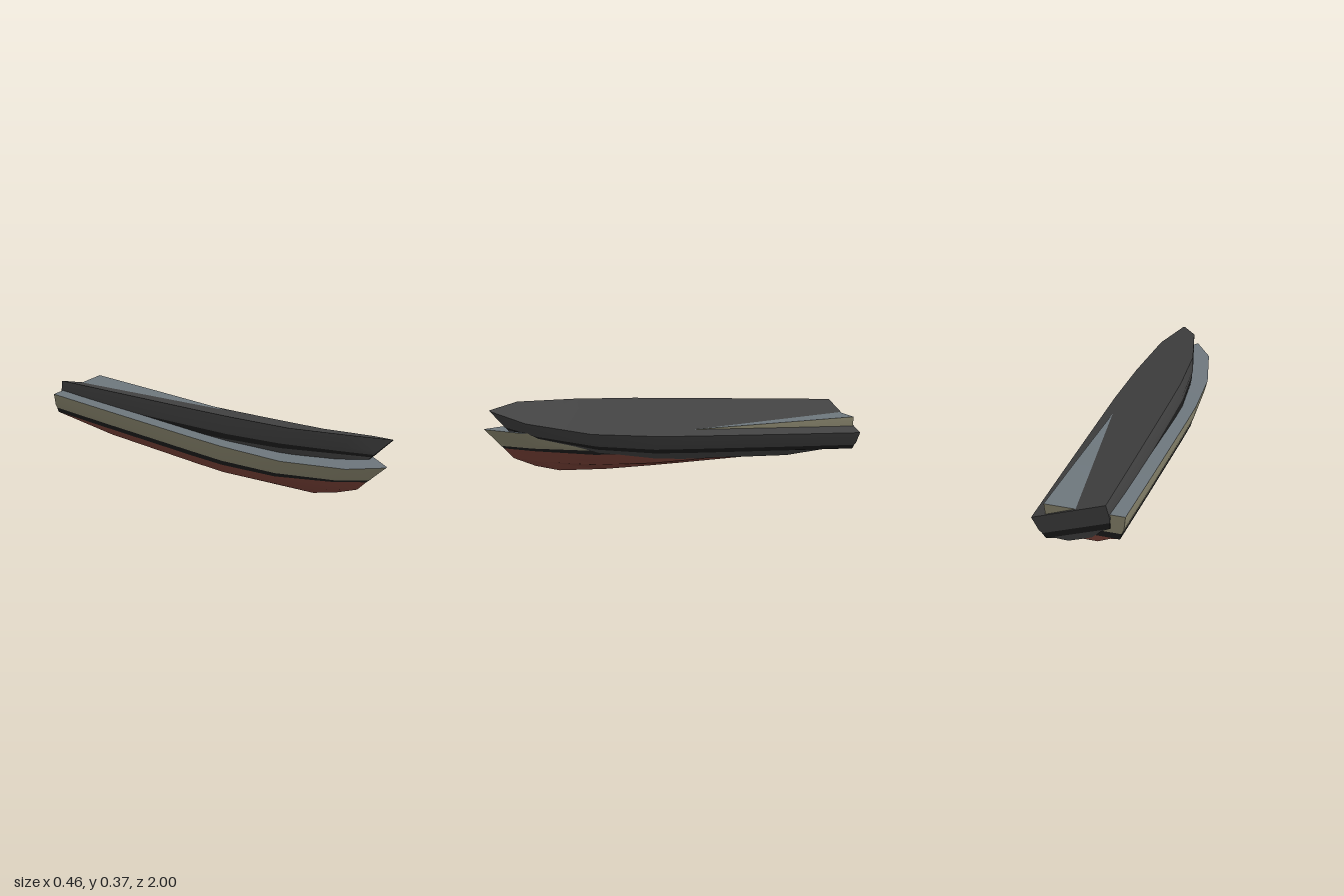
import * as THREE from 'three';
import { toCreasedNormals } from 'three/addons/utils/BufferGeometryUtils.js';

// Stations run from stern to bow; each level lists half widths and heights at them.
const STATIONS = [-0.985, -0.6, 0, 0.2, 0.53, 0.845, 1];
const LEVELS = {
  deck:         { reach: 1.0,   w: [0.19, 0.195, 0.2, 0.2, 0.18, 0.11, 0.005],      h: [0.207, 0.207, 0.207, 0.208, 0.213, 0.235, 0.245] },
  knuckle:      { reach: 0.94,  w: [0.182, 0.187, 0.19, 0.19, 0.167, 0.097, 0.007], h: [0.14, 0.14, 0.14, 0.142, 0.15, 0.168, 0.18] },
  stripeTop:    { reach: 0.92,  w: [0.172, 0.177, 0.181, 0.181, 0.156, 0.087, 0.007], h: [0.118, 0.118, 0.118, 0.118, 0.128, 0.148, 0.157] },
  stripeBottom: { reach: 0.905, w: [0.164, 0.169, 0.174, 0.174, 0.148, 0.079, 0.007], h: [0.09, 0.09, 0.09, 0.092, 0.105, 0.132, 0.143] },
  bilge:        { reach: 0.86,  w: [0.12, 0.138, 0.143, 0.143, 0.115, 0.06, 0.007], h: [0.085, 0.04, 0.035, 0.035, 0.045, 0.07, 0.09] },
  bottom:       { reach: 0.75,  w: [0.06, 0.06, 0.06, 0.06, 0.05, 0.03, 0.005],     h: [0.06, 0.006, 0.003, 0.003, 0.003, 0.012, 0.04] },
};

// Closed ring: along the left side to the bow, back along the right side
function ring(name) {
  const { reach, w, h } = LEVELS[name];
  const side = (s) => STATIONS.map((z, i) => [s * w[i], h[i], z > 0 ? z * reach : z]);
  return [...side(1), ...side(-1).reverse()];
}

// Skin between an upper and a lower ring; the closing quad is the transom
function band(upper, lower, out) {
  const p = ring(upper), q = ring(lower), n = p.length;
  for (let i = 0; i < n; i++) {
    const j = (i + 1) % n;
    out.push(q[i], p[i], p[j], q[i], p[j], q[j]);
  }
}

// Flat cover over a ring
function cap(name, up, out) {
  const p = ring(name), n = p.length;
  for (let i = 0; i < STATIONS.length - 1; i++) {
    const L = p[n - 1 - i], L2 = p[n - 2 - i], R = p[i], R2 = p[i + 1];
    if (up) out.push(L, L2, R2, L, R2, R);
    else out.push(L, R2, L2, L, R, R2);
  }
}

function part(name, material, fill) {
  const points = [];
  fill(points);
  const geo = new THREE.BufferGeometry();
  geo.setAttribute('position', new THREE.Float32BufferAttribute(points.flat(), 3));
  const mesh = new THREE.Mesh(toCreasedNormals(geo, 0.5), material);
  mesh.name = name;
  return mesh;
}

function hull(name, mats) {
  const g = new THREE.Group();
  g.name = name;
  g.add(
    part('deck', mats.deck, (o) => cap('deck', true, o)),
    part('topsides', mats.sides, (o) => {
      band('deck', 'knuckle', o);
      band('knuckle', 'stripeTop', o);
    }),
    part('waterlineStripe', mats.stripe, (o) => band('stripeTop', 'stripeBottom', o)),
    part('underbody', mats.under, (o) => {
      band('stripeBottom', 'bilge', o);
      band('bilge', 'bottom', o);
      cap('bottom', false, o);
    }),
  );
  return g;
}

export function createModel() {
  const mat = (name, color) => {
    const m = new THREE.MeshStandardMaterial({ color });
    m.name = name;
    return m;
  };
  const deckGrey = mat('deckGrey', 0x6e777d);
  const cream = mat('cream', 0x8c8870);
  const red = mat('bottomRed', 0x7a4238);
  const black = mat('stripeBlack', 0x1c1c1c);
  const charcoal = mat('charcoal', 0x424242);

  const model = new THREE.Group();
  model.name = 'twinHulls';

  // Level hull
  const light = hull('lightHull', { deck: deckGrey, sides: cream, stripe: black, under: red });
  light.position.x = -0.035;

  // Same hull, heeled over with the bow lifted
  const dark = hull('darkHull', { deck: charcoal, sides: charcoal, stripe: black, under: charcoal });
  dark.position.set(-0.033, 0.06, 0);
  dark.rotation.set(-0.061, 0, -0.349);

  model.add(light, dark);
  return model;
}
